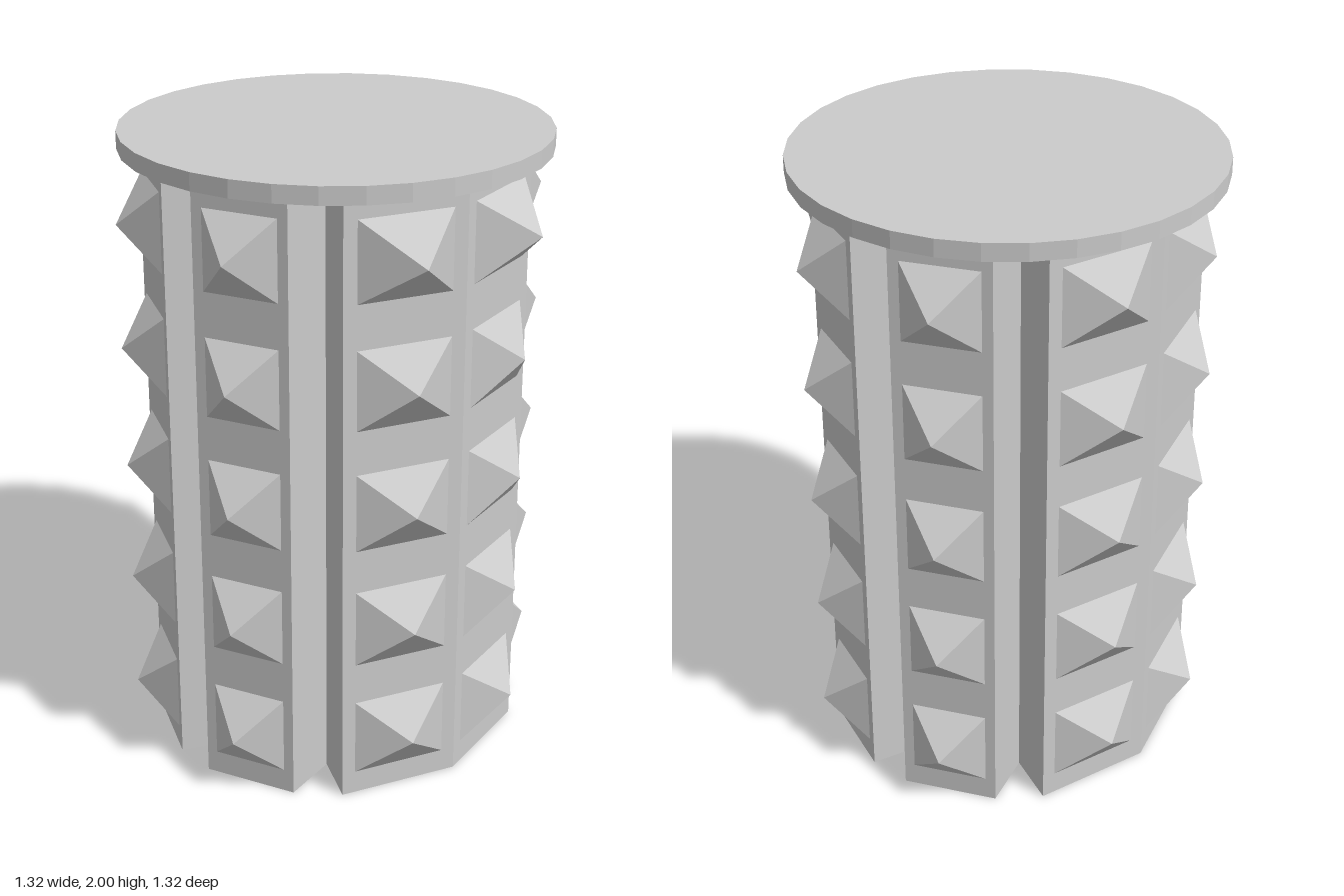
import * as THREE from 'three';

const BODY_TOP = 1.945;
const CAP_RADIUS = 0.66;
const ROWS = [0.2, 0.585, 0.975, 1.365, 1.755];

// One quarter of the fluted outline (x, z), from the front ridge round to the side groove
const QUARTER = [[0, 0.575], [0.372, 0.46], [0.297, 0.297], [0.48, 0.35], [0.602, 0.07], [0.42, 0]];

export function createModel() {
  const model = new THREE.Group();
  const material = new THREE.MeshStandardMaterial({ color: 0xcccccc, flatShading: true });
  const add = (parent, name, geometry) => {
    const mesh = new THREE.Mesh(geometry, material);
    mesh.name = name;
    parent.add(mesh);
    return mesh;
  };

  // Grooved eight-panel column, mirrored from the quarter outline
  const half = [...QUARTER, ...QUARTER.slice(0, -1).reverse().map(([x, z]) => [x, -z])];
  const outline = [...half, ...half.slice(1, -1).reverse().map(([x, z]) => [-x, z])];
  const shape = new THREE.Shape(outline.map(([x, z]) => new THREE.Vector2(x, -z)));
  const body = new THREE.ExtrudeGeometry(shape, { depth: BODY_TOP, bevelEnabled: false });
  body.rotateX(-Math.PI / 2);
  add(model, 'groovedColumn', body);

  // Round lid
  const lid = new THREE.CylinderGeometry(CAP_RADIUS, CAP_RADIUS, 2 - BODY_TOP, 32);
  add(model, 'lid', lid).position.y = (2 + BODY_TOP) / 2;

  // Unit pyramid: square base on z = 0, tip at z = 1
  const pyramid = new THREE.ConeGeometry(Math.SQRT1_2, 1, 4, 1, true);
  pyramid.rotateY(Math.PI / 4).translate(0, 0.5, 0).rotateX(Math.PI / 2);

  // Five studs up each of the eight panels
  const panels = [
    { name: 'ridgePanelStuds', a: QUARTER[0], b: QUARTER[1], width: 0.302, height: 0.1 },
    { name: 'sidePanelStuds', a: QUARTER[3], b: QUARTER[4], width: 0.24, height: 0.108 },
  ];
  for (const { name, a, b, width, height } of panels) {
    for (const sx of [1, -1]) {
      for (const sz of [1, -1]) {
        const studs = new THREE.Group();
        studs.name = name;
        studs.position.set(sx * (a[0] + b[0]) / 2, 0, sz * (a[1] + b[1]) / 2);
        studs.rotation.y = Math.atan2(sx * (a[1] - b[1]), sz * (b[0] - a[0]));
        ROWS.forEach((y, row) => {
          const stud = add(studs, 'stud', pyramid);
          stud.position.y = y;
          // The top front studs stand out a little further
          const tall = row === 4 && sz > 0 && name === 'ridgePanelStuds';
          stud.scale.set(width, 0.25, tall ? 0.14 : height);
        });
        model.add(studs);
      }
    }
  }
  return model;
}
